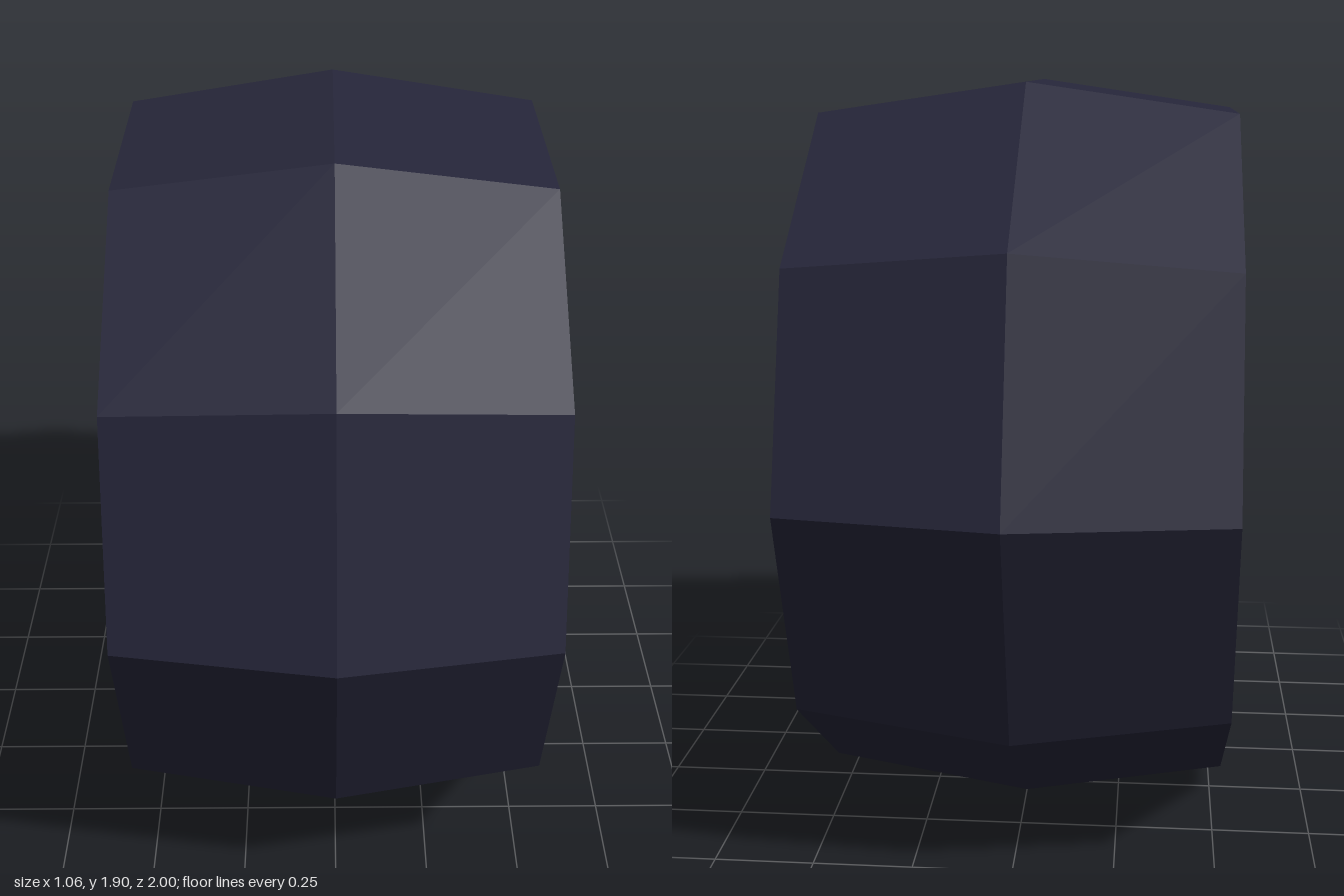
import * as THREE from 'three';

const SIDES = 10;
const HALF_WIDTH = 0.528;
const HUB_HALF = 0.4;
const HUB_RADIUS = 0.59;

export function createModel() {
  const rubber = new THREE.MeshStandardMaterial({ color: 0x26263a, flatShading: true });
  rubber.name = 'dark rubber';
  const blue = new THREE.MeshStandardMaterial({ color: 0x0e4f94, flatShading: true });
  blue.name = 'blue hub';

  // Wheel is turned about its own y axis, then laid over so the axle runs along x
  const wheel = new THREE.Group();
  wheel.name = 'wheel';
  wheel.rotation.z = Math.PI / 2;
  wheel.position.y = Math.cos(Math.PI / SIDES);

  // Tyre: crowned tread, flat side walls and recessed inner rims
  const profile = [
    [HUB_RADIUS, -HUB_HALF],
    [0.62, -HALF_WIDTH],
    [0.919, -HALF_WIDTH],
    [1, 0],
    [0.919, HALF_WIDTH],
    [0.62, HALF_WIDTH],
    [HUB_RADIUS, HUB_HALF],
  ].map(([r, y]) => new THREE.Vector2(r, y));
  const tyre = new THREE.Mesh(new THREE.LatheGeometry(profile, SIDES), rubber);
  tyre.name = 'tyre';

  // Hub: its two end faces sit at the bottom of the recesses
  const hub = new THREE.Mesh(
    new THREE.CylinderGeometry(HUB_RADIUS, HUB_RADIUS, HUB_HALF * 2, SIDES), blue);
  hub.name = 'hub';

  wheel.add(tyre, hub);
  const model = new THREE.Group();
  model.add(wheel);
  return model;
}
